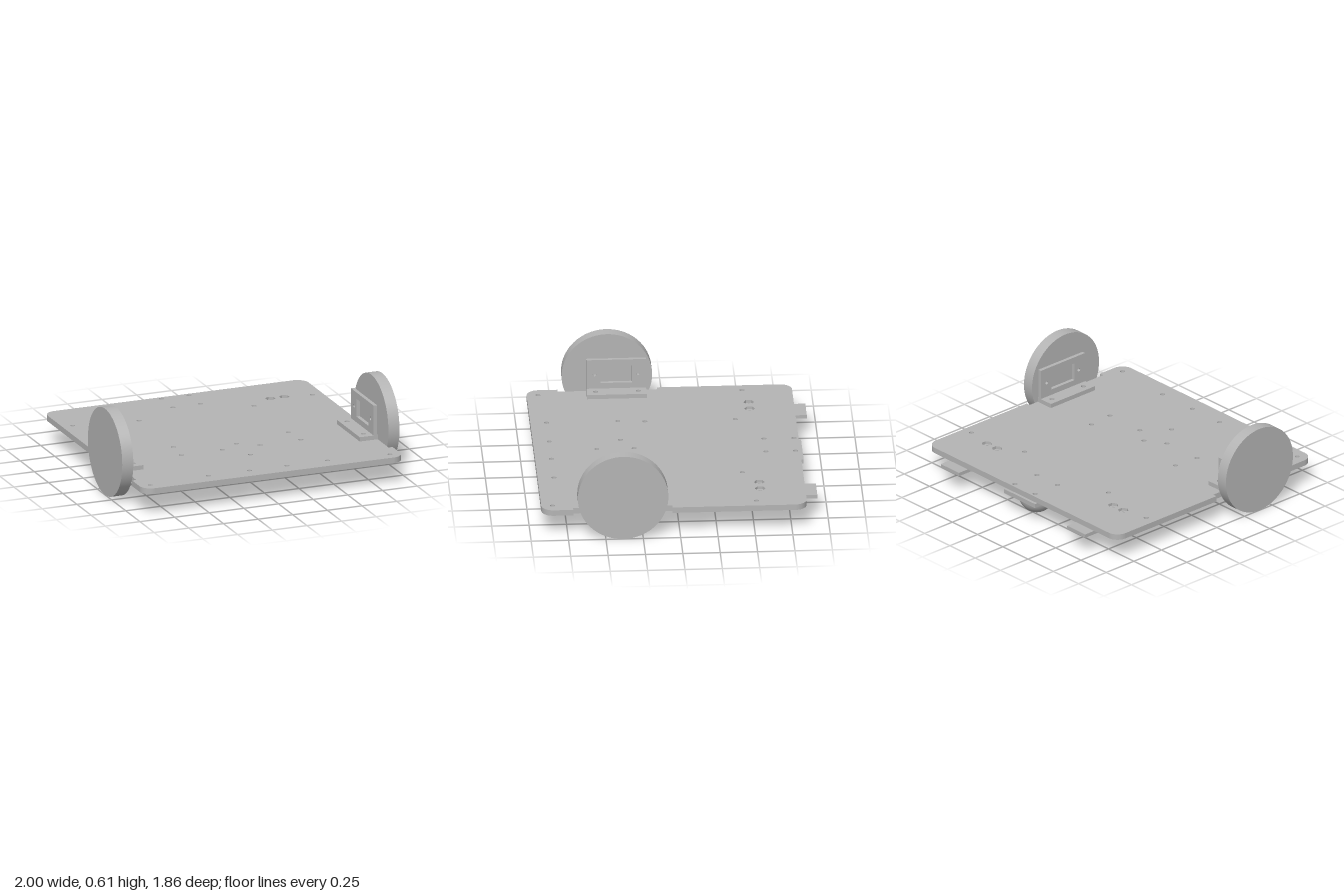
import * as THREE from 'three';

const grey = new THREE.MeshStandardMaterial({ color: 0xb4b4b4 });
grey.name = 'grey plastic';

const HOLE = 0.017, HEX = 0.036;

// Round or hexagonal hole at plan position (x, z)
function hole(x, z, r = HOLE, hex = false) {
  const n = hex ? 6 : 20, pts = [];
  for (let i = 0; i < n; i++) {
    const a = (i / n) * Math.PI * 2 + Math.PI / 2;
    pts.push(new THREE.Vector2(x + r * Math.cos(a), -z + r * Math.sin(a)));
  }
  return new THREE.Path(pts);
}

function rect(x0, x1, y0, y1, Type = THREE.Shape) {
  return new Type([[x0, y0], [x1, y0], [x1, y1], [x0, y1]].map(p => new THREE.Vector2(...p)));
}

// Horizontal slab from a plan shape drawn in (x, -z)
function slab(name, shape, y, height) {
  const g = new THREE.ExtrudeGeometry(shape, { depth: height, bevelEnabled: false, curveSegments: 12 });
  g.rotateX(-Math.PI / 2).translate(0, y, 0);
  return named(name, g);
}

function named(name, geometry) {
  const m = new THREE.Mesh(geometry, grey);
  m.name = name;
  return m;
}

// Chassis outline with rounded corners and a wheel notch on each side
function chassisOutline() {
  const w = 0.94, n = 0.91, f = -0.925, b = 0.85, r = 0.08, n0 = -0.715, n1 = -0.05;
  const s = new THREE.Shape();
  s.moveTo(-w + r, f);
  s.lineTo(w - r, f);
  s.absarc(w - r, f + r, r, -Math.PI / 2, 0);
  s.lineTo(w, n0);
  s.lineTo(n, n0);
  s.lineTo(n, n1);
  s.lineTo(w, n1);
  s.absarc(w - r, b - r, r, 0, Math.PI / 2);
  s.absarc(-w + r, b - r, r, Math.PI / 2, Math.PI);
  s.lineTo(-w, n1);
  s.lineTo(-n, n1);
  s.lineTo(-n, n0);
  s.lineTo(-w, n0);
  s.absarc(-w + r, f + r, r, Math.PI, Math.PI * 1.5);
  return s;
}

const mirrored = list => list.flatMap(([x, z]) => (x ? [[x, z], [-x, z]] : [[x, z]]));
const plainHoles = mirrored([[0.865, -0.515], [0.865, 0.85], [0.1, -0.82], [0.1, -0.62]]);
const nutBelow = mirrored([[0.415, -0.445], [0.415, 0.16], [0.43, 0.34], [0.135, 0.34], [0, 0.255],
  [0, 0.505], [0.43, 0.815], [0.135, 0.815], [0.83, 0.18], [0.83, 0.465]]);
const nutAbove = mirrored([[0.575, -0.55], [0.675, -0.55]]);

// Half of the chassis thickness; each half carries its own nut pockets
function chassisLayer(name, y, hexes, rounds) {
  const s = chassisOutline();
  hexes.forEach(([x, z]) => s.holes.push(hole(x, z, HEX, true)));
  rounds.forEach(([x, z]) => s.holes.push(hole(x, z)));
  return slab(name, s, y, 0.02);
}

// Wheel, motor bracket and sensor pad for one side (s = 1 left, -1 right)
function side(s) {
  const g = new THREE.Group();
  g.name = s > 0 ? 'leftSide' : 'rightSide';

  const wheel = named('wheel', new THREE.CylinderGeometry(0.303, 0.303, 0.08, 72));
  wheel.rotation.z = Math.PI / 2;
  wheel.position.set(s * 0.96, 0.303, 0.385);

  const xs = (a, b) => (s > 0 ? [a, b] : [-b, -a]);

  // Bracket foot with two screw holes
  const foot = rect(...xs(0.78, 0.91), -0.525, -0.125);
  [0.18, 0.465].forEach(z => foot.holes.push(hole(s * 0.83, z)));

  // Bracket upright with motor window, drawn in (-z, y)
  const face = rect(-0.525, -0.125, 0.225, 0.435);
  face.holes.push(rect(-0.43, -0.22, 0.265, 0.39, THREE.Path));
  [-0.47, -0.18].forEach(u => face.holes.push(hole(u, -0.328, 0.012)));
  const up = new THREE.ExtrudeGeometry(face, { depth: 0.025, bevelEnabled: false });
  up.rotateY(Math.PI / 2).translate(s > 0 ? 0.88 : -0.905, 0, 0);

  // Sensor pad under the rear edge, with screw holes and a slot
  const pad = rect(...xs(0.535, 0.715), 0.485, 0.93);
  [0.575, 0.675].forEach(x => pad.holes.push(hole(s * x, -0.55)));
  const slot = new THREE.Path(), cx = s * 0.625, sr = 0.015;
  slot.absarc(cx, 0.73, sr, 0, Math.PI);
  slot.absarc(cx, 0.63, sr, Math.PI, Math.PI * 2);
  pad.holes.push(slot);

  g.add(wheel, slab('bracketFoot', foot, 0.195, 0.03), named('bracketUpright', up),
    slab('sensorPad', pad, 0.13, 0.025));
  return g;
}

// Rear caster: mounting plate and half ball
function caster() {
  const g = new THREE.Group();
  g.name = 'caster';
  const plate = rect(-0.153, 0.153, 0.565, 0.87);
  mirrored([[0.1, -0.82], [0.1, -0.62]]).forEach(([x, z]) => plate.holes.push(hole(x, z)));
  const ball = named('casterBall', new THREE.SphereGeometry(0.122, 48, 20, 0, Math.PI * 2, Math.PI / 2, Math.PI / 2));
  ball.position.set(0, 0.125, -0.715);
  ball.scale.y = 0.125 / 0.122;
  g.add(slab('casterPlate', plate, 0.125, 0.03), ball);
  return g;
}

export function createModel() {
  const model = new THREE.Group();
  model.name = 'robotChassis';
  model.add(
    chassisLayer('chassisTop', 0.175, nutAbove, [...plainHoles, ...nutBelow]),
    chassisLayer('chassisBottom', 0.155, nutBelow, [...plainHoles, ...nutAbove]),
    side(1), side(-1), caster());
  return model;
}
